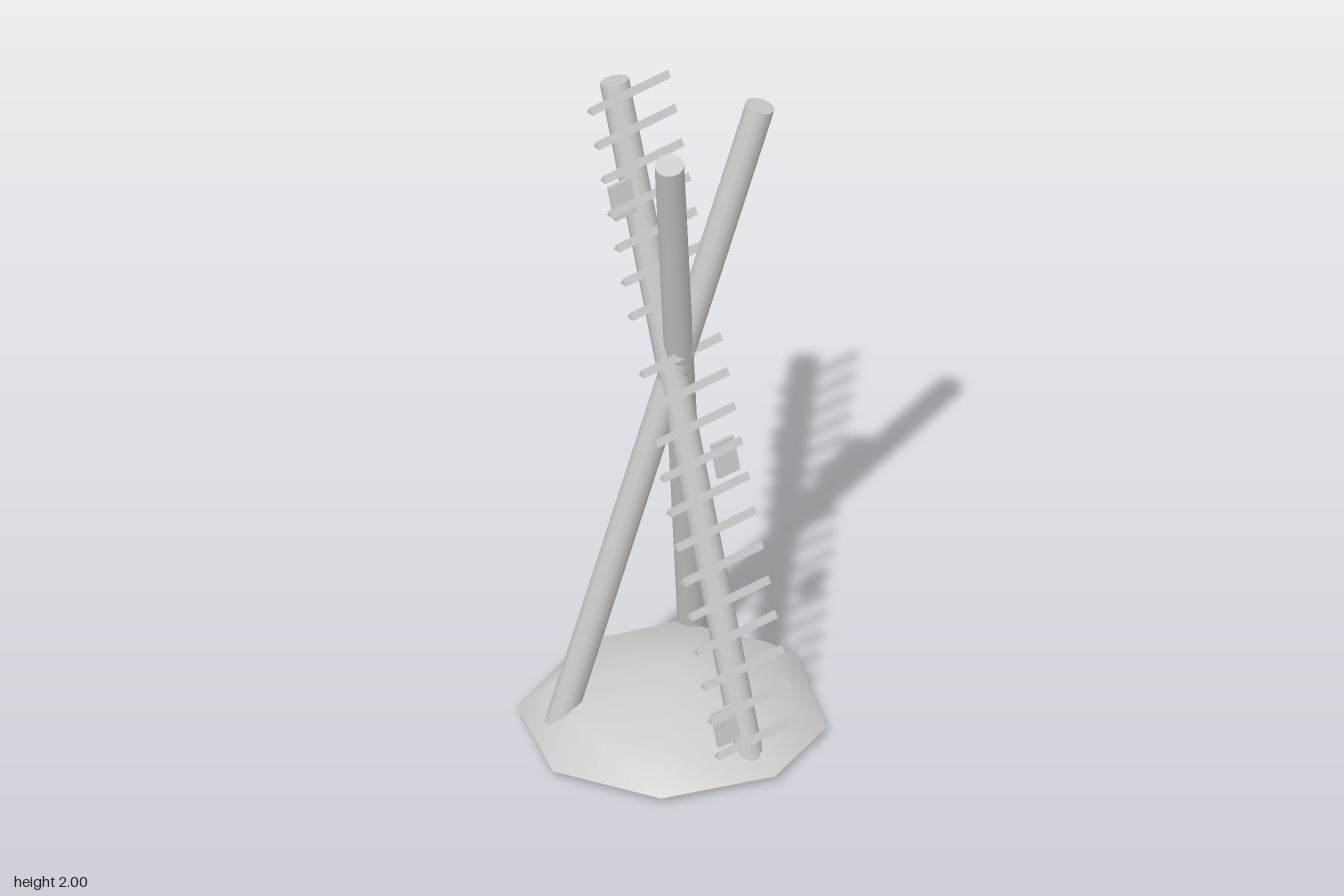
import * as THREE from 'three';

const grey = new THREE.MeshStandardMaterial({ color: 0xcccccc, side: THREE.DoubleSide });
const flatGrey = new THREE.MeshStandardMaterial({ color: 0xcccccc, flatShading: true });

function add(parent, name, geometry, material = grey) {
  const mesh = new THREE.Mesh(geometry, material);
  mesh.name = name;
  parent.add(mesh);
  return mesh;
}

// Slightly uneven eight-cornered mound: scaled copies of the outline, then a peak
const outline = [
  [0, -0.418], [0.285, -0.315], [0.44, 0], [0.265, 0.325],
  [0, 0.413], [-0.305, 0.29], [-0.44, -0.005], [-0.305, -0.308],
];

function moundGeometry(rings, peak) {
  const n = outline.length, pos = [], index = [];
  for (const [scale, y] of rings) for (const [x, z] of outline) pos.push(x * scale, y, z * scale);
  pos.push(0, peak, 0);
  const last = rings.length - 1, apex = rings.length * n;
  for (let i = 0; i < n; i++) {
    const j = (i + 1) % n;
    for (let r = 0; r < last; r++) {
      const a = r * n, b = a + n;
      index.push(b + i, b + j, a + i, b + j, a + j, a + i);
    }
    index.push(apex, last * n + j, last * n + i);
  }
  const g = new THREE.BufferGeometry();
  g.setAttribute('position', new THREE.Float32BufferAttribute(pos, 3));
  g.setIndex(index);
  g.computeVertexNormals();
  return g;
}

// Straight round pole between two points
function pole(parent, name, from, to) {
  const a = new THREE.Vector3(...from), b = new THREE.Vector3(...to);
  const mesh = add(parent, name, new THREE.CylinderGeometry(0.041, 0.041, a.distanceTo(b), 12));
  mesh.position.copy(a).add(b).multiplyScalar(0.5);
  mesh.quaternion.setFromUnitVectors(new THREE.Vector3(0, 1, 0), b.sub(a).normalize());
}

export function createModel() {
  const model = new THREE.Group();
  model.name = 'tripodTower';

  // Ground mound with a closed underside
  const base = new THREE.Group();
  base.name = 'base';
  model.add(base);
  add(base, 'mound', moundGeometry([[1, 0.02], [0.74, 0.112]], 0.19));
  const floor = new THREE.Shape(outline.map(([x, z]) => new THREE.Vector2(x, z)));
  add(base, 'underside', new THREE.ShapeGeometry(floor).rotateX(Math.PI / 2).translate(0, 0.02, 0));

  // Three poles crossing above the middle
  pole(model, 'ladderPole', [-0.015, 0.012, 0.333], [-0.015, 1.988, -0.237]);
  pole(model, 'leftPole', [0.27, 0.012, -0.235], [-0.172, 1.985, 0.172]);
  pole(model, 'rightPole', [-0.302, 0.012, -0.15], [0.207, 1.985, 0.115]);

  // Three-sided rungs on the ladder pole, with a gap at the crossing
  const slope = -0.286;
  const ladderZ = (y) => 0.355 + (y - 0.127) * slope;
  const rungs = new THREE.Group();
  rungs.name = 'rungs';
  model.add(rungs);
  const rungGeo = new THREE.CylinderGeometry(0.014, 0.014, 0.285, 3).rotateZ(Math.PI / 2).rotateX(-Math.PI / 2);
  // Turn one edge of the triangle upward
  rungGeo.computeBoundingBox();
  if (rungGeo.boundingBox.max.y < 0.0139) rungGeo.rotateX(Math.atan2(rungGeo.attributes.position.getZ(0), rungGeo.attributes.position.getY(0)) * -1);
  const heights = [];
  for (let i = 0; i < 12; i++) heights.push(0.127 + i * 0.0998);
  for (let i = 0; i < 7; i++) heights.push(1.39 + i * 0.0983);
  for (const y of heights) add(rungs, 'rung', rungGeo, flatGrey).position.set(-0.0165, y, ladderZ(y));

  // Small plates fixed beside the ladder pole
  for (const [x, y] of [[-0.106, 0.193], [0.068, 0.898], [-0.104, 1.705]]) {
    const plate = add(model, 'plate', new THREE.BoxGeometry(0.075, 0.1, 0.014), flatGrey);
    plate.position.set(x, y, ladderZ(y) - 0.006);
    plate.rotation.x = Math.atan(slope);
  }
  return model;
}
